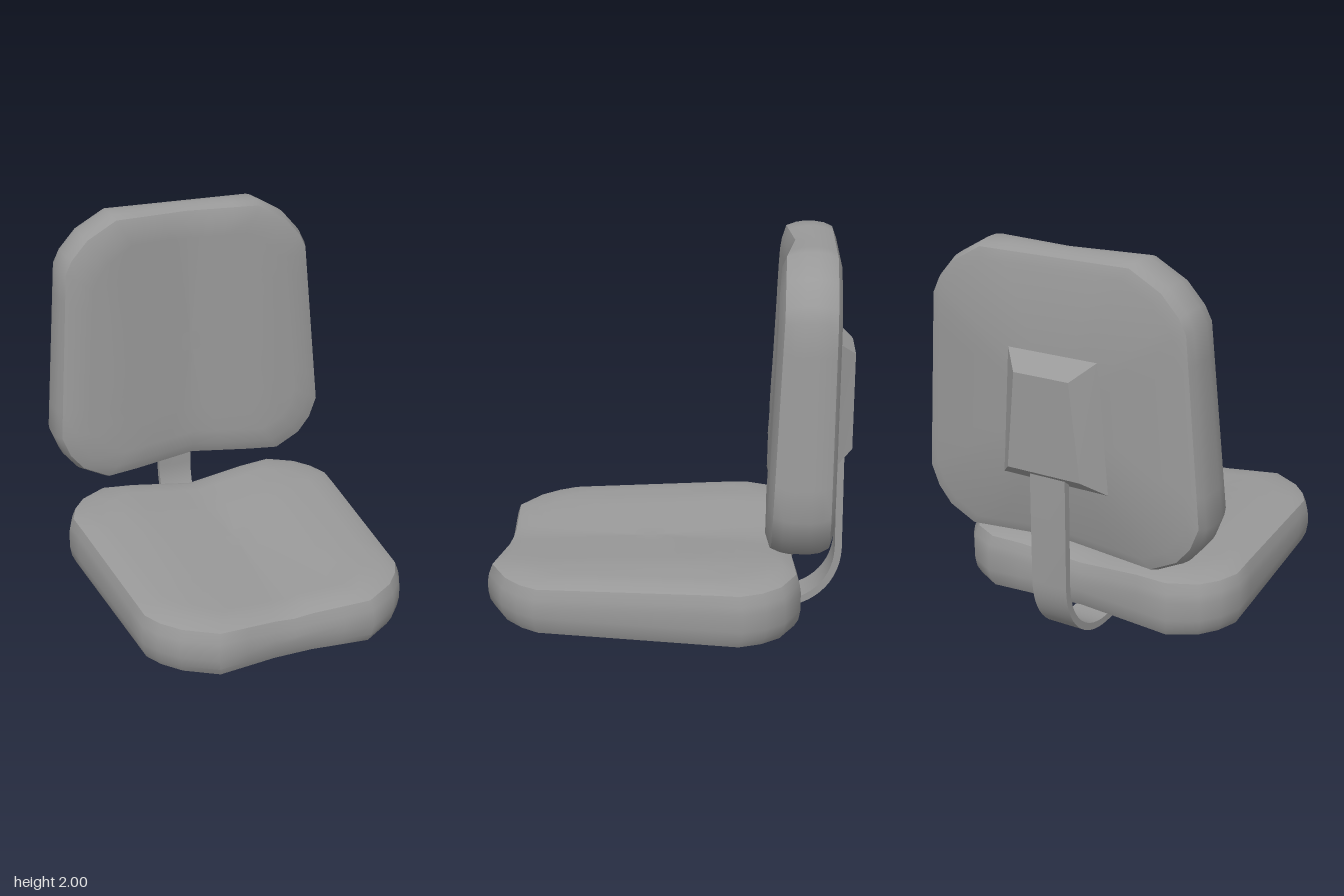
import * as THREE from 'three';
import { mergeVertices, toCreasedNormals } from 'three/addons/utils/BufferGeometryUtils.js';

const darkGrey = () => new THREE.MeshStandardMaterial({ color: 0x999999 });

function part(name, geometry) {
  const mesh = new THREE.Mesh(geometry, darkGrey());
  mesh.name = name;
  return mesh;
}

function indexed(positions, index) {
  const g = new THREE.BufferGeometry();
  g.setAttribute('position', new THREE.Float32BufferAttribute(positions, 3));
  g.setIndex(index);
  return g;
}

// Mirror a right-hand half outline (bottom centre to top centre) and subdivide it.
function fullOutline(half) {
  const left = half.filter(([x]) => x > 0).map(([x, v]) => [-x, v]).reverse();
  const pts = [...half, ...left];
  const out = [];
  pts.forEach(([x, v], i) => {
    const [x2, v2] = pts[(i + 1) % pts.length];
    const n = Math.max(1, Math.round(Math.hypot(x2 - x, v2 - v) / 0.15));
    for (let k = 0; k < n; k++) out.push([x + (x2 - x) * k / n, v + (v2 - v) * k / n]);
  });
  return out;
}

// Padded cushion in the xy plane: flat back at z = base, dished face at z = top(x, y).
function cushion(half, centreY, base, top) {
  const outline = fullOutline(half);
  const n = outline.length;
  const positions = [];
  const index = [];
  // [inset, offset, measured from the face?]
  const rings = [
    [0.075, 0, false], [0.024, 0.02, false], [0.007, 0.06, false], [0, 0.11, false],
    [0, -0.11, true], [0.006, -0.07, true], [0.022, -0.022, true], [0.08, 0, true],
  ];
  for (let i = 1; i < 8; i++) rings.push([0.08 + i * 0.077, 0, true]);
  for (const [inset, offset, fromFace] of rings) {
    const s = 1 - inset / 0.71;
    for (const [px, py] of outline) {
      const x = px * s, y = centreY + (py - centreY) * s;
      positions.push(x, y, offset + (fromFace ? top(x, y) : base));
    }
  }
  for (let r = 0; r < rings.length - 1; r++) {
    for (let i = 0; i < n; i++) {
      const j = (i + 1) % n;
      const a = r * n + i, b = r * n + j;
      index.push(a, b, b + n, a, b + n, a + n);
    }
  }
  // Close the flat back and the middle of the face.
  const back = positions.length / 3, face = back + 1, last = (rings.length - 1) * n;
  positions.push(0, centreY, base, 0, centreY, top(0, centreY));
  for (let i = 0; i < n; i++) {
    const j = (i + 1) % n;
    index.push(back, j, i, face, last + i, last + j);
  }
  return toCreasedNormals(indexed(positions, index), 0.7);
}

// Shallow hollow along the middle, with slightly lowered sides.
function dish(x, depth) {
  const a = Math.abs(x);
  return -depth * Math.max(0, 1 - a / 0.42) - 0.012 * Math.max(0, (a - 0.42) / 0.3);
}

// Tapered mounting plate: base on z = 0, wider at the bottom, rising to z = 0.1.
function mountGeometry() {
  const g = new THREE.BoxGeometry(1, 1, 1);
  const p = g.attributes.position;
  for (let i = 0; i < p.count; i++) {
    const outer = p.getZ(i) > 0, upper = p.getY(i) > 0;
    const w = (upper ? 0.25 : 0.3) - (outer ? 0.105 : 0);
    const y = upper ? (outer ? 0.235 : 0.325) : (outer ? -0.235 : -0.325);
    p.setXYZ(i, Math.sign(p.getX(i)) * w, y, outer ? 0.1 : -0.01);
  }
  return toCreasedNormals(g, 0.3);
}

// Flat bent strap joining the two mounts, drawn in profile and extruded across.
function strapGeometry() {
  const path = new THREE.CurvePath();
  const P = (a, b) => new THREE.Vector2(a, b);
  path.add(new THREE.LineCurve(P(0.08, 0.095), P(0.52, 0.08)));
  path.add(new THREE.CubicBezierCurve(P(0.52, 0.08), P(0.72, 0.075), P(0.86, 0.22), P(0.86, 0.41)));
  path.add(new THREE.LineCurve(P(0.86, 0.41), P(0.85, 1.03)));
  const inner = [], outer = [];
  for (const curve of path.curves) {
    const steps = curve.isLineCurve ? 1 : 14;
    for (let i = 0; i <= steps; i++) {
      const c = curve.getPoint(i / steps), t = curve.getTangent(i / steps);
      inner.push(P(c.x - t.y * 0.018, c.y + t.x * 0.018));
      outer.push(P(c.x + t.y * 0.018, c.y - t.x * 0.018));
    }
  }
  const skip = (q, i, arr) => i === 0 || q.distanceTo(arr[i - 1]) > 0.004;
  const shape = new THREE.Shape([...outer.filter(skip), ...inner.filter(skip).reverse()]);
  const g = new THREE.ExtrudeGeometry(shape, { depth: 0.19, bevelEnabled: false });
  g.translate(0, 0, -0.095).rotateY(Math.PI / 2);
  g.deleteAttribute('uv');
  g.deleteAttribute('normal');
  return toCreasedNormals(mergeVertices(g), 0.6);
}

export function createModel() {
  const model = new THREE.Group();
  model.name = 'chair';

  // Backrest
  const backHalf = [
    [0, 0.6], [0.51, 0.557], [0.65, 0.628], [0.72, 0.715], [0.762, 0.825],
    [0.685, 1.74], [0.65, 1.81], [0.56, 1.91], [0.40, 2], [0, 2],
  ];
  const backTop = (x, y) => -0.483 - 0.045 * Math.max(0, (y - 0.8) / 1.2) + dish(x, 0.045);
  model.add(part('backrest', cushion(backHalf, 1.28, -0.805, backTop)));

  // Seat, shaped upright and laid down so that y becomes -z
  const seatHalf = [
    [0, -0.867], [0.1, -0.867], [0.40, -0.898], [0.56, -0.80], [0.64, -0.71], [0.687, -0.62],
    [0.762, 0.39], [0.72, 0.50], [0.65, 0.59], [0.51, 0.665], [0, 0.62],
  ];
  const seatTop = (x, y) => {
    const forward = Math.max(0, (0.3 - y) / 1.13);
    return 0.467 - 0.047 * forward + dish(x, 0.045 - 0.012 * forward);
  };
  const seat = part('seat', cushion(seatHalf, -0.115, 0.146, seatTop));
  seat.rotation.x = -Math.PI / 2;
  model.add(seat);

  // Mounting plates behind the backrest and under the seat
  const backMount = part('backMount', mountGeometry());
  backMount.rotation.y = Math.PI;
  backMount.position.set(0, 1.222, -0.8);
  const seatMount = part('seatMount', mountGeometry());
  seatMount.rotation.x = Math.PI / 2;
  seatMount.position.set(0, 0.15, 0.115);
  model.add(backMount, seatMount);

  // Support strap
  model.add(part('supportStrap', strapGeometry()));

  // Short post under the seat
  const post = part('post', new THREE.CylinderGeometry(0.098, 0.098, 0.07, 24));
  post.position.set(0, 0.035, 0.115);
  model.add(post);

  return model;
}
